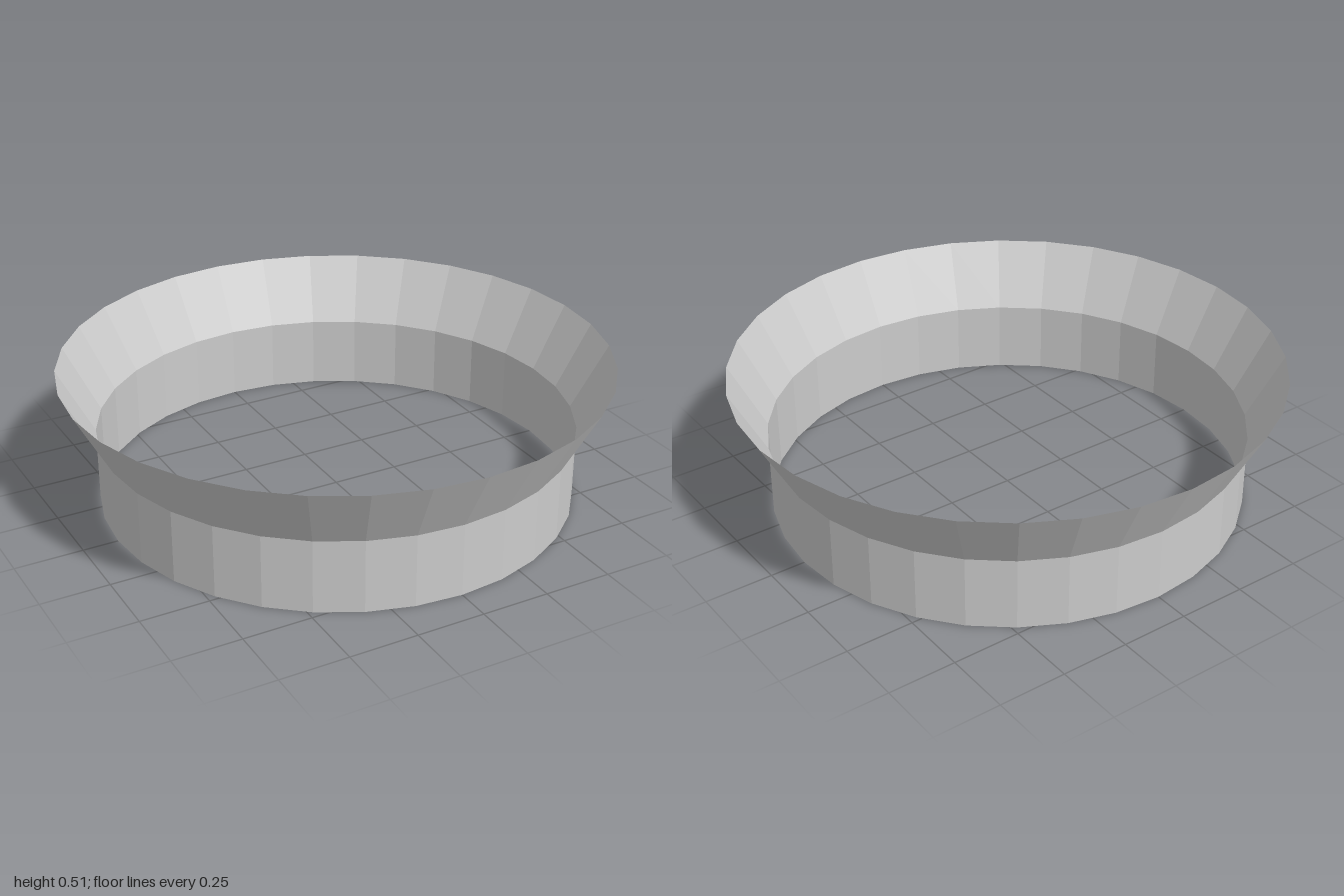
import * as THREE from 'three';

const SIDES = 32;

export function createModel() {
  const group = new THREE.Group();
  const material = new THREE.MeshStandardMaterial({
    color: 0xcccccc,
    flatShading: true,
    side: THREE.DoubleSide,
  });

  // Open, thin-walled ring between two radii and heights
  const addBand = (name, bottomRadius, bottomY, topRadius, topY) => {
    const height = topY - bottomY;
    const geometry = new THREE.CylinderGeometry(topRadius, bottomRadius, height, SIDES, 1, true);
    const band = new THREE.Mesh(geometry, material);
    band.name = name;
    band.position.y = bottomY + height / 2;
    group.add(band);
  };

  // Straight collar with a flared rim on top
  addBand('collar', 0.87, 0, 0.87, 0.27);
  addBand('flaredRim', 0.87, 0.27, 1, 0.51);

  return group;
}
